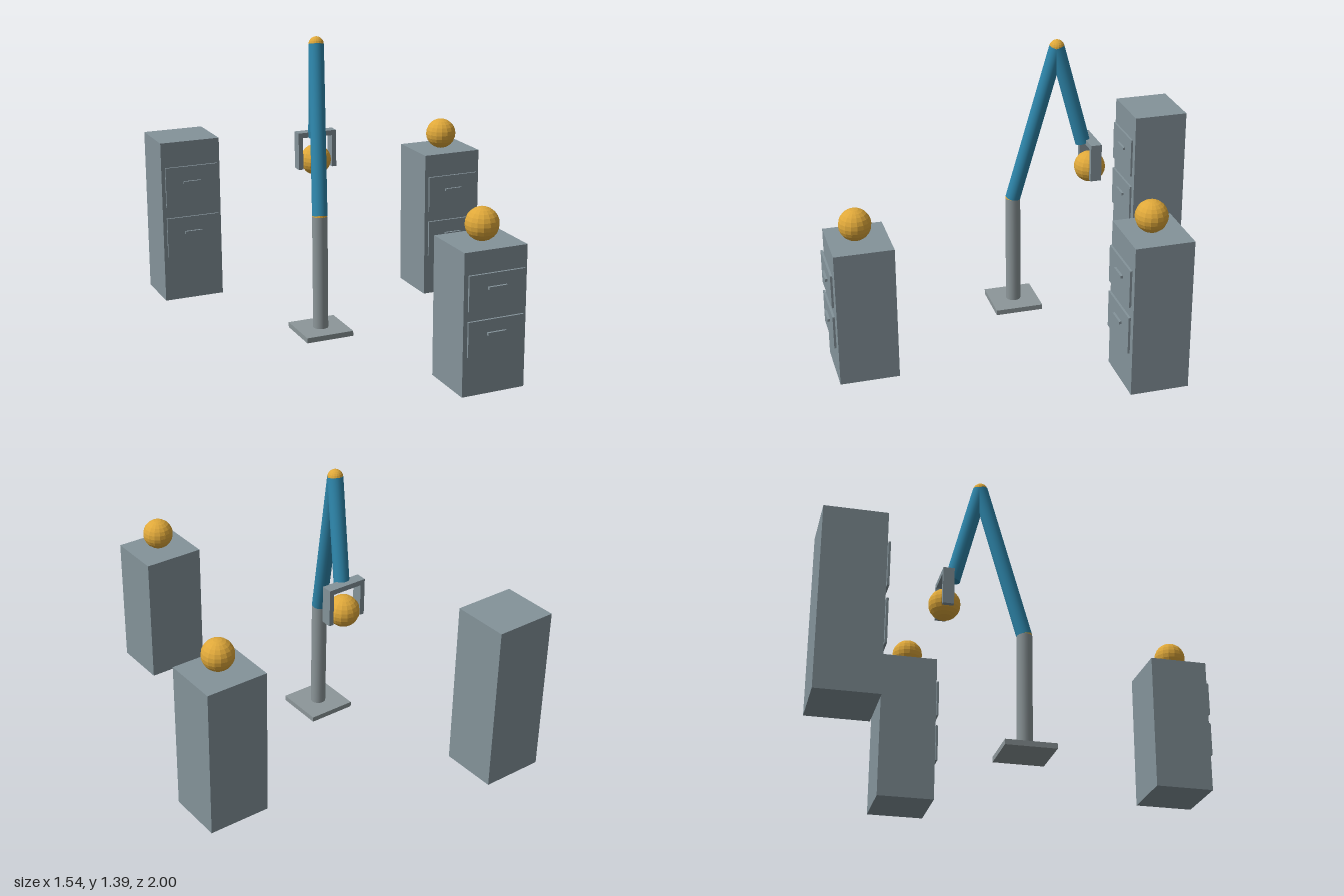
import * as THREE from 'three';

const paint = (name, color, flatShading = false) => {
  const m = new THREE.MeshStandardMaterial({ color, flatShading });
  m.name = name;
  return m;
};

export function createModel() {
  const model = new THREE.Group();
  model.name = 'robotArmWithCabinets';
  const cabinetGrey = paint('cabinet grey', 0x84939a);
  const steel = paint('steel grey', 0x8c9699);
  const blue = paint('arm blue', 0x2e86ab);
  const amber = paint('amber', 0xdfa83a, true);

  const add = (parent, name, geometry, material, x, y, z) => {
    const mesh = new THREE.Mesh(geometry, material);
    mesh.name = name;
    mesh.position.set(x, y, z);
    parent.add(mesh);
    return mesh;
  };
  const box = (parent, name, material, w, h, d, x, y, z) =>
    add(parent, name, new THREE.BoxGeometry(w, h, d), material, x, y, z);
  const ball = (parent, name, r, x, y, z) =>
    add(parent, name, new THREE.SphereGeometry(r, 16, 12), amber, x, y, z);

  // Cabinets: body, two drawer fronts with handles, optional ball on top
  const W = 0.304, D = 0.276, BALL = 0.0755;
  const cabinet = (name, x, z, h, hasBall) => {
    const g = new THREE.Group();
    g.name = name;
    g.position.set(x, 0, z);
    model.add(g);
    box(g, 'body', cabinetGrey, W, h, D, 0, h / 2, 0);
    for (const [label, mid, grip] of [['upper', 0.724, 0.748], ['lower', 0.406, 0.432]]) {
      box(g, label + 'Drawer', cabinetGrey, 0.27, h * 0.246, 0.01, 0, h * mid, D / 2 + 0.011);
      box(g, label + 'Handle', cabinetGrey, 0.09, 0.013, 0.011, 0, h * grip, D / 2 + 0.0215);
    }
    if (hasBall) ball(g, 'restingBall', BALL, 0, h + BALL, 0.011);
  };
  cabinet('frontCabinet', 0.166, 0.835, 0.65, true);
  cabinet('leftCabinet', 0.617, -0.409, 0.733, true);
  cabinet('backCabinet', -0.622, -0.862, 0.822, false);

  // Pedestal
  const shoulder = new THREE.Vector3(-0.228, 0.578, 0);
  const elbow = new THREE.Vector3(-0.156, 1.358, -0.197);
  const wrist = new THREE.Vector3(-0.112, 0.882, -0.317);
  const R = 0.0365;
  box(model, 'basePlate', steel, 0.236, 0.025, 0.236, shoulder.x, 0.0125, 0);
  add(model, 'column', new THREE.CylinderGeometry(R, R, 0.553, 20), steel, shoulder.x, 0.3015, 0);

  // Arm links run between joints
  const link = (name, a, b) => {
    const dir = b.clone().sub(a);
    const mid = a.clone().add(b).multiplyScalar(0.5);
    const mesh = add(model, name, new THREE.CylinderGeometry(R, R, dir.length(), 20), blue, mid.x, mid.y, mid.z);
    mesh.quaternion.setFromUnitVectors(new THREE.Vector3(0, 1, 0), dir.normalize());
  };
  link('upperArm', shoulder, elbow);
  link('forearm', elbow, wrist);
  ball(model, 'shoulderJoint', 0.036, ...shoulder.toArray());
  ball(model, 'elbowJoint', 0.036, ...elbow.toArray());

  // Gripper holding a ball
  const gripper = new THREE.Group();
  gripper.name = 'gripper';
  gripper.position.set(-0.1, 0, -0.35);
  model.add(gripper);
  box(gripper, 'palm', cabinetGrey, 0.198, 0.025, 0.053, 0, 0.89, 0);
  for (const s of [-1, 1]) {
    box(gripper, s > 0 ? 'leftFinger' : 'rightFinger', cabinetGrey, 0.023, 0.158, 0.053, s * 0.0875, 0.799, 0);
  }
  ball(gripper, 'heldBall', BALL, 0, 0.758, 0);

  return model;
}
